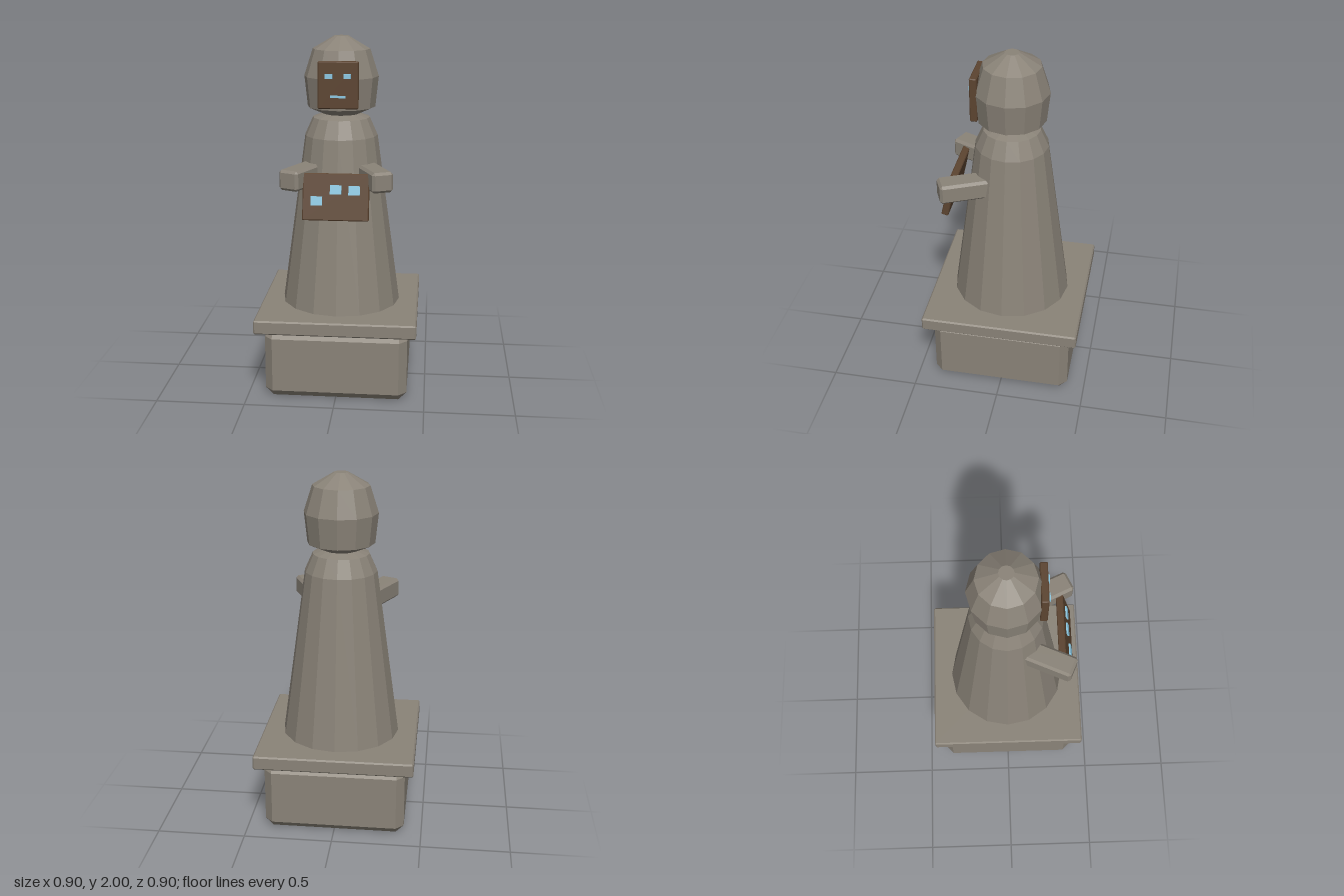
import * as THREE from 'three';
import { ConvexGeometry } from 'three/addons/geometries/ConvexGeometry.js';

const material = (name, color) => {
  const m = new THREE.MeshStandardMaterial({ color });
  m.name = name;
  return m;
};

// Box with all edges cut at 45 degrees by c
function chamferBox(w, h, d, c) {
  const points = [];
  for (const x of [-w / 2, w / 2]) for (const y of [-h / 2, h / 2]) for (const z of [-d / 2, d / 2]) {
    const sx = Math.sign(x) * c, sy = Math.sign(y) * c, sz = Math.sign(z) * c;
    points.push(
      new THREE.Vector3(x, y - sy, z - sz),
      new THREE.Vector3(x - sx, y, z - sz),
      new THREE.Vector3(x - sx, y - sy, z));
  }
  return new ConvexGeometry(points);
}

// Faceted solid of revolution from [radius, height] pairs
function facetedLathe(profile, sides) {
  const g = new THREE.LatheGeometry(profile.map(p => new THREE.Vector2(...p)), sides).toNonIndexed();
  g.computeVertexNormals();
  return g;
}

export function createModel() {
  const stone = material('stone', 0x8a8378);
  const wood = material('dark wood', 0x5c4430);
  const glow = material('light blue', 0x8cc8e2);

  const model = new THREE.Group();
  model.name = 'statue';
  const add = (parent, name, geometry, mat, x = 0, y = 0, z = 0) => {
    const mesh = new THREE.Mesh(geometry, mat);
    mesh.name = name;
    mesh.position.set(x, y, z);
    parent.add(mesh);
    return mesh;
  };

  // Pedestal
  add(model, 'base', chamferBox(0.8, 0.4, 0.8, 0.045), stone, 0, 0.2, 0);
  add(model, 'plinth', chamferBox(0.9, 0.08, 0.9, 0.008), stone, 0, 0.44, 0);

  // Robed body and hooded head
  add(model, 'body', facetedLathe(
    [[0, 0.47], [0.34, 0.47], [0.205, 1.45], [0.16, 1.55], [0.1, 1.57], [0, 1.57]], 16), stone);
  add(model, 'head', facetedLathe(
    [[0, 1.565], [0.1, 1.57], [0.19, 1.61], [0.208, 1.78], [0.16, 1.93], [0.04, 2], [0, 2]], 12), stone);

  // Face plate with eyes and mouth
  const face = new THREE.Group();
  face.name = 'face';
  face.position.set(0, 1.752, 0.19);
  model.add(face);
  add(face, 'facePlate', chamferBox(0.22, 0.255, 0.04, 0.005), wood);
  for (const side of [-1, 1]) {
    add(face, side > 0 ? 'leftEye' : 'rightEye',
      new THREE.BoxGeometry(0.04, 0.026, 0.0095), glow, side * 0.05, 0.05, 0.0255);
  }
  add(face, 'mouth', new THREE.BoxGeometry(0.085, 0.012, 0.0095), glow, 0, -0.06, 0.0255);

  // Arms reaching forward and outward
  for (const side of [-1, 1]) {
    const arm = add(model, side > 0 ? 'leftArm' : 'rightArm',
      chamferBox(0.12, 0.112, 0.4, 0.014), stone, side * 0.175, 1.256, 0.18);
    arm.rotation.y = side * 0.427;
  }

  // Tilted tablet with three small marks
  const tablet = new THREE.Group();
  tablet.name = 'tablet';
  tablet.position.set(0, 1.165, 0.327);
  tablet.rotation.x = -0.22;
  model.add(tablet);
  add(tablet, 'tabletPlate', chamferBox(0.36, 0.256, 0.04, 0.005), wood);
  for (const [x, y] of [[-0.103, -0.022], [0, 0.04], [0.1, 0.037]]) {
    add(tablet, 'tabletMark', new THREE.BoxGeometry(0.062, 0.05, 0.0095), glow, x, y, 0.0245);
  }
  return model;
}
